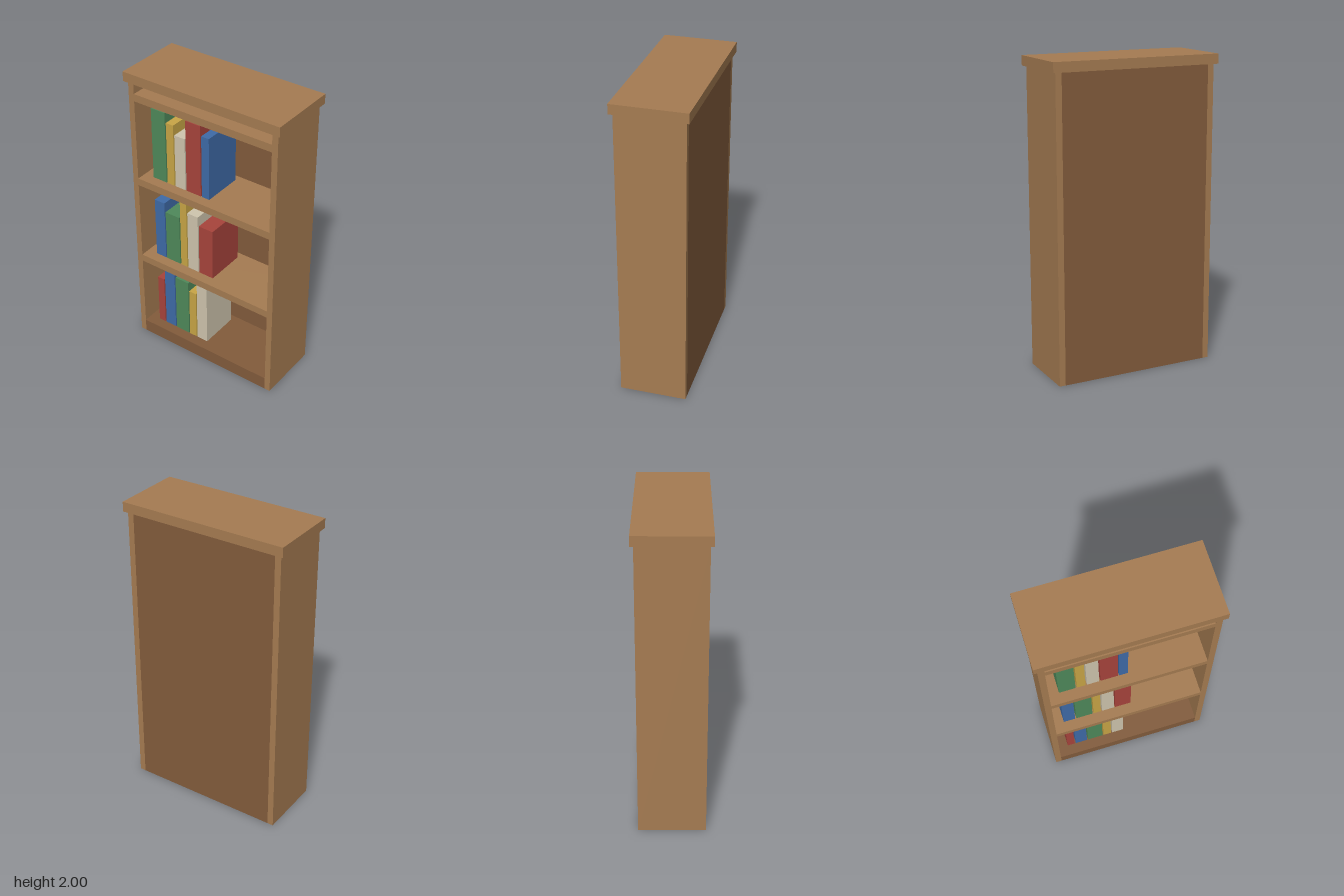
import * as THREE from 'three';

const mat = (name, color) => {
  const m = new THREE.MeshStandardMaterial({ color });
  m.name = name;
  return m;
};

export function createModel() {
  const wood = mat('wood', 0xa67c52);
  const darkWood = mat('darkWood', 0x835c3c);
  const colours = {
    green: mat('greenCover', 0x4f8a5b),
    yellow: mat('yellowCover', 0xc9a646),
    cream: mat('creamCover', 0xd0c6ae),
    red: mat('redCover', 0xa8443c),
    blue: mat('blueCover', 0x3f6ba8),
  };
  const model = new THREE.Group();
  model.name = 'bookcase';

  // Box given by its minimum and maximum corners
  const box = (name, material, [x0, y0, z0], [x1, y1, z1], parent = model) => {
    const mesh = new THREE.Mesh(new THREE.BoxGeometry(x1 - x0, y1 - y0, z1 - z0), material);
    mesh.position.set((x0 + x1) / 2, (y0 + y1) / 2, (z0 + z1) / 2);
    mesh.name = name;
    parent.add(mesh);
  };

  // Carcass
  const inner = 0.497, outer = 0.537, depth = 0.215, top = 1.937, back = -0.175;
  box('leftSide', wood, [inner, 0, -depth], [outer, top, depth]);
  box('rightSide', wood, [-outer, 0, -depth], [-inner, top, depth]);
  box('topBoard', wood, [-0.558, top, -0.235], [0.558, 2, 0.235]);
  box('plinth', darkWood, [-inner, 0, -depth], [inner, 0.09, depth]);
  box('backPanel', darkWood, [-inner, 0.09, -depth], [inner, top, back]);

  // Shelves
  for (const y of [0.657, 1.258, 1.86]) {
    box('shelf', wood, [-inner, y - 0.05, back], [inner, y, depth]);
  }

  // Books: colour, width, height, standing side by side from the right
  const rows = [
    [0.09, [['red', 0.052, 0.367], ['blue', 0.082, 0.493], ['green', 0.106, 0.43], ['yellow', 0.055, 0.367], ['cream', 0.081, 0.493]]],
    [0.657, [['blue', 0.078, 0.43], ['green', 0.11, 0.366], ['yellow', 0.05, 0.497], ['cream', 0.082, 0.43], ['red', 0.107, 0.366]]],
    [1.258, [['green', 0.105, 0.497], ['yellow', 0.055, 0.432], ['cream', 0.078, 0.367], ['red', 0.11, 0.497], ['blue', 0.056, 0.432]]],
  ];
  for (const [y, books] of rows) {
    const row = new THREE.Group();
    row.name = 'bookRow';
    let x = -0.428;
    for (const [colour, width, height] of books) {
      box(colour + 'Book', colours[colour], [x, y, -0.132], [x + width, y + height, 0.146], row);
      x += width + 0.008;
    }
    model.add(row);
  }
  return model;
}
